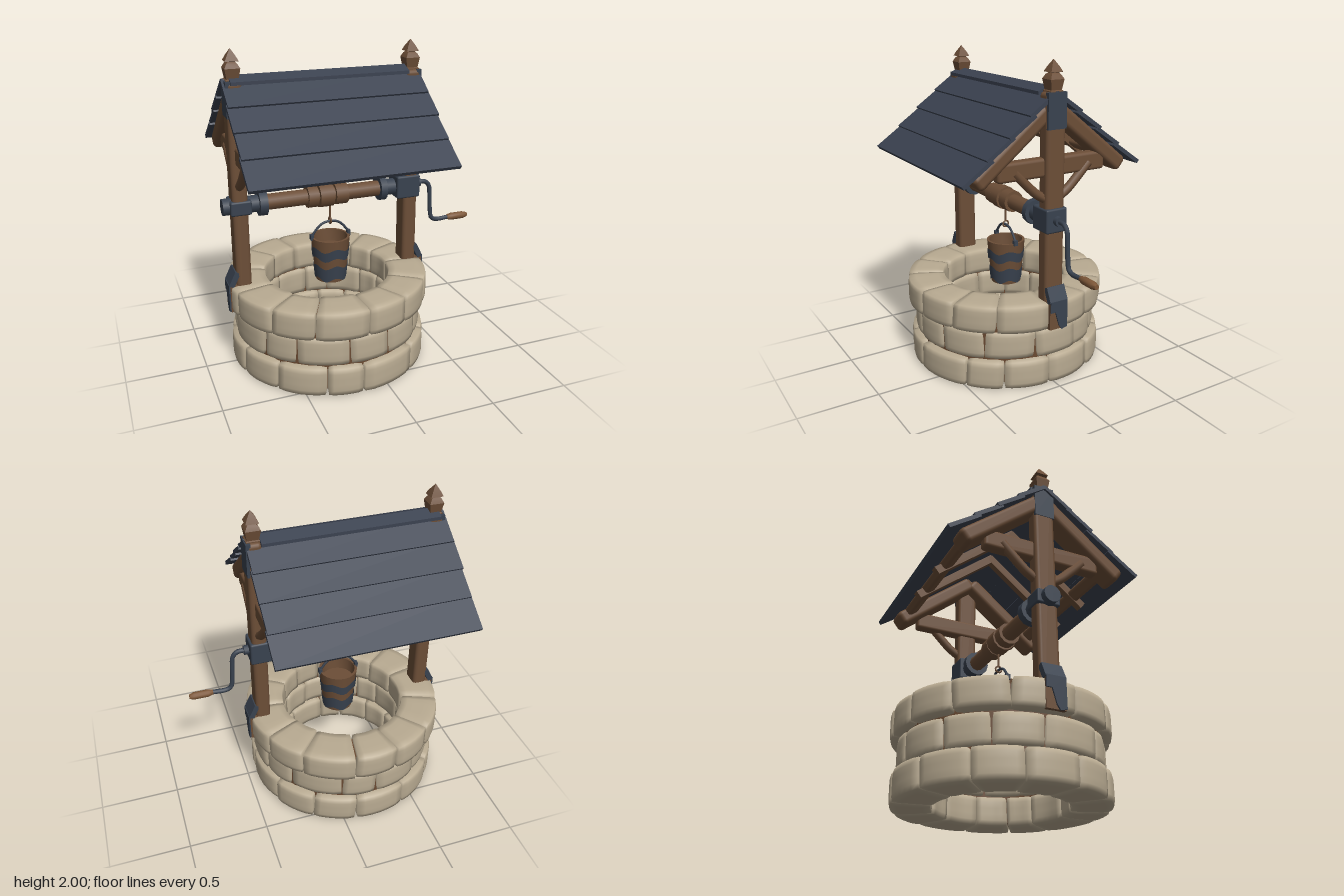
import * as THREE from 'three';
import { mergeVertices, toCreasedNormals } from 'three/addons/utils/BufferGeometryUtils.js';
import { RoundedBoxGeometry } from 'three/addons/geometries/RoundedBoxGeometry.js';

const material = (name, color, side = THREE.FrontSide) => {
  const m = new THREE.MeshStandardMaterial({ color, side });
  m.name = name;
  return m;
};
const stone = material('stone', 0xb9ab92);
const mortar = material('mortar', 0x6a4a32);
const wood = material('wood', 0x6c4e37);
const handleWood = material('handle wood', 0x7d5738);
const slate = material('roof slate', 0x3b4250);
const iron = material('iron', 0x39424f);
const ironBand = material('iron band', 0x39424f, THREE.DoubleSide);

const CX = -0.18; // centre of the well

let seed = 7;
const rand = () => (seed = (seed * 16807) % 2147483647) / 2147483647;

function add(parent, name, geometry, mat, x = 0, y = 0, z = 0) {
  const mesh = new THREE.Mesh(geometry, mat);
  mesh.name = name;
  mesh.position.set(x, y, z);
  parent.add(mesh);
  return mesh;
}
const beam = (w, h, d, r = 0.02) => new RoundedBoxGeometry(w, h, d, 2, r);
const vec = ([x, y, z = 0]) => new THREE.Vector3(x, y, z);
const tube = (points, r) =>
  new THREE.TubeGeometry(new THREE.CatmullRomCurve3(points.map(vec), false, 'centripetal'), 24, r, 8);
const lathe = (points, sides, start = 0) =>
  toCreasedNormals(new THREE.LatheGeometry(points.map(p => new THREE.Vector2(...p)), sides, start), 0.6);
// cylinder lying along x from x0 to x1
function rod(parent, name, mat, x0, x1, r, y, sides = 12) {
  const g = new THREE.CylinderGeometry(r, r, x1 - x0, sides).rotateZ(Math.PI / 2);
  return add(parent, name, g, mat, (x0 + x1) / 2, y, 0);
}

// Rounded block bent around the well's axis
function stoneBlock(a0, a1, inner, outer, y0, y1) {
  const w = (a1 - a0) * outer, h = y1 - y0, d = outer - inner, r = 0.022;
  let g = new THREE.BoxGeometry(w, h, d, 6, 5, 5);
  g.deleteAttribute('normal');
  g.deleteAttribute('uv');
  g = mergeVertices(g);
  const p = g.attributes.position, v = new THREE.Vector3(), c = new THREE.Vector3();
  const limit = new THREE.Vector3(w / 2 - r, h / 2 - r, d / 2 - r);
  const skew = (rand() - 0.5) * 0.05, lean = rand() * 0.015;
  for (let i = 0; i < p.count; i++) {
    v.fromBufferAttribute(p, i);
    c.copy(v).clamp(limit.clone().negate(), limit);
    const off = v.clone().sub(c);
    if (off.lengthSq() > 0) v.copy(c).add(off.setLength(r));
    const a = (a0 + a1) / 2 + v.x / outer + skew * v.y / h;
    const rad = (inner + outer) / 2 + v.z - lean * Math.abs(v.x / w + skew * 4);
    p.setXYZ(i, Math.sin(a) * rad, (y0 + y1) / 2 + v.y, Math.cos(a) * rad);
  }
  g.computeVertexNormals();
  return g;
}

function buildWall() {
  const wall = new THREE.Group();
  wall.name = 'stoneWall';
  wall.position.x = CX;
  const courses = [[0, 0.19, 0.385, 0.638, 0.1], [0.19, 0.38, 0.4, 0.61, 0.36], [0.38, 0.562, 0.395, 0.648, 0.02]];
  for (const [y0, y1, inner, outer, turn] of courses) {
    const n = 13, cuts = [];
    for (let i = 0; i < n; i++) cuts.push(turn + (i + (rand() - 0.5) * 0.3) * Math.PI * 2 / n);
    cuts.push(cuts[0] + Math.PI * 2);
    for (let i = 0; i < n; i++) {
      const g = stoneBlock(cuts[i], cuts[i + 1], inner + rand() * 0.012, outer - rand() * 0.01, y0, y1 - rand() * 0.005);
      add(wall, 'stone', g, stone);
    }
  }
  const core = [[0.43, 0.03], [0.585, 0.03], [0.585, 0.53], [0.43, 0.53], [0.43, 0.03]];
  add(wall, 'mortarCore', lathe(core, 36), mortar);
  return wall;
}

// Post with its ironwork, tie beam, braces and finial; local +x points outward
function buildEndFrame() {
  const f = new THREE.Group();
  f.name = 'endFrame';
  add(f, 'post', beam(0.095, 1.42, 0.13, 0.025), wood, 0, 1.11, 0);
  add(f, 'postFoot', new THREE.BoxGeometry(0.1, 0.175, 0.12), wood, 0.042, 0.472, 0);
  const s = new THREE.Shape([[-0.025, 0.5], [-0.06, 0.5], [-0.06, 0.57], [0.06, 0.57], [0.06, 0.39], [0.02, 0.38]]
    .map(p => new THREE.Vector2(...p)));
  s.lineTo(-0.0, 0.41);
  const plate = new THREE.ExtrudeGeometry(s, { depth: 0.009, bevelEnabled: false }).rotateY(Math.PI / 2);
  add(f, 'footPlate', plate, iron, 0.092, 0, 0);
  const upper = add(f, 'footPlateTop', new THREE.BoxGeometry(0.035, 0.1, 0.125), iron, 0.062, 0.602, 0);
  upper.rotation.z = 0.45;
  add(f, 'topPlate', new THREE.BoxGeometry(0.03, 0.21, 0.125), iron, 0.036, 1.715, 0);
  add(f, 'tieBeam', beam(0.075, 0.115, 0.74), wood, -0.02, 1.385, 0);
  for (const k of [-1, 1]) {
    add(f, 'brace', tube([[0, 1.19, k * 0.04], [0, 1.235, k * 0.11], [0, 1.29, k * 0.17], [0, 1.38, k * 0.26]], 0.028), wood);
  }
  // square turned finial
  const profile = [[0, 1.8], [0.06, 1.8], [0.06, 1.825], [0.05, 1.83], [0.064, 1.89], [0.045, 1.915],
    [0.03, 1.925], [0.056, 1.93], [0.035, 1.96], [0, 2]];
  add(f, 'finial', lathe(profile, 4, Math.PI / 4), wood);
  return f;
}

// One slope; local +z runs down the roof
function buildRoofSide() {
  const side = new THREE.Group();
  side.name = 'roofSide';
  const slope = new THREE.Group();
  slope.rotation.x = 0.675;
  side.add(slope);
  const edges = [0.03, 0.215, 0.39, 0.57, 0.77];
  for (let i = 0; i < 4; i++) {
    const len = edges[i + 1] - edges[i] + 0.03;
    const plank = add(slope, 'roofPlank', new THREE.BoxGeometry(1.225 + (i % 2) * 0.01, 0.024, len), slate,
      0, 0.004, edges[i + 1] - len / 2);
    plank.rotation.x = -0.07;
  }
  for (const k of [-1, 1]) {
    add(slope, 'gableRafter', beam(0.145, 0.1, 0.65, 0.03), wood, k * 0.522, -0.064, 0.375);
    add(slope, 'smallRafter', new THREE.BoxGeometry(0.045, 0.05, 0.66), wood, k * 0.155, -0.055, 0.36);
  }
  add(slope, 'purlin', beam(0.95, 0.06, 0.08), wood, 0, -0.045, 0.6);
  return side;
}

function buildWindlass() {
  const w = new THREE.Group();
  w.name = 'windlass';
  const y = 1.062;
  rod(w, 'axle', wood, -0.7, 0.3, 0.05, y);
  for (const [x0, x1, r] of [[-0.31, -0.245, 0.07], [-0.235, -0.145, 0.076], [-0.13, -0.05, 0.07]])
    rod(w, 'ropeDrum', wood, x0, x1, r, y);
  rod(w, 'endCap', iron, -0.84, -0.785, 0.052, y);
  add(w, 'leftBearing', beam(0.13, 0.09, 0.145, 0.012), iron, -0.735, y, 0);
  rod(w, 'leftSleeve', iron, -0.69, -0.6, 0.053, y);
  rod(w, 'leftCollar', iron, -0.62, -0.57, 0.08, y);
  rod(w, 'rightCollar', iron, 0.17, 0.212, 0.08, y);
  rod(w, 'rightSleeve', iron, 0.2, 0.3, 0.053, y);
  add(w, 'rightBearing', beam(0.16, 0.15, 0.145, 0.012), iron, 0.36, y + 0.005, 0);
  rod(w, 'crankHub', iron, 0.43, 0.47, 0.03, y + 0.007);
  add(w, 'crank', tube([[0.45, 1.068], [0.51, 1.066], [0.54, 1.035], [0.548, 0.97], [0.556, 0.85],
    [0.568, 0.803], [0.6, 0.787], [0.69, 0.79]], 0.015), iron);
  const grip = lathe([[0, 0], [0.016, 0], [0.024, 0.03], [0.024, 0.12], [0.015, 0.15], [0, 0.15]], 12);
  add(w, 'crankGrip', grip, handleWood, 0.685, 0.79, 0).rotation.z = -Math.PI / 2;
  return w;
}

function buildBucket() {
  const b = new THREE.Group();
  b.name = 'bucket';
  b.position.x = -0.155;
  add(b, 'bucketBody', lathe([[0, 0.49], [0.098, 0.49], [0.126, 0.78], [0.11, 0.78], [0.103, 0.7], [0, 0.7]], 20), wood);
  // hoops with wavy edges
  const radius = y => 0.102 + (y - 0.49) * 0.0966;
  for (const [y0, y1] of [[0.505, 0.595], [0.65, 0.715]]) {
    const g = new THREE.CylinderGeometry(radius(y1), radius(y0), y1 - y0, 40, 1, true);
    const p = g.attributes.position;
    for (let i = 0; i < p.count; i++)
      p.setY(i, p.getY(i) + 0.012 * Math.sin(5 * Math.atan2(p.getZ(i), p.getX(i))));
    add(b, 'bucketHoop', g, ironBand, 0, (y0 + y1) / 2, 0);
  }
  add(b, 'bucketHandle', tube([[-0.128, 0.775], [-0.118, 0.8], [-0.06, 0.865], [0, 0.88], [0.06, 0.865],
    [0.118, 0.8], [0.128, 0.775]], 0.008), iron);
  for (const k of [-1, 1]) add(b, 'handleLug', new THREE.BoxGeometry(0.02, 0.035, 0.03), iron, k * 0.124, 0.785, 0);
  add(b, 'rope', new THREE.CylinderGeometry(0.007, 0.007, 0.12, 8), wood, 0, 0.96, 0);
  add(b, 'hook', new THREE.TorusGeometry(0.02, 0.006, 6, 14), wood, 0, 0.885, 0).rotation.y = Math.PI / 2;
  return b;
}

export function createModel() {
  const well = new THREE.Group();
  well.name = 'well';
  well.add(buildWall(), buildWindlass(), buildBucket());
  for (const k of [-1, 1]) {
    const frame = buildEndFrame();
    frame.position.x = CX + k * 0.558;
    const roof = buildRoofSide();
    roof.position.set(-0.19, 1.82, 0);
    if (k < 0) frame.rotation.y = roof.rotation.y = Math.PI;
    well.add(frame, roof);
  }
  // shallow ridge cap
  const cap = new THREE.Shape([[-0.075, 1.8], [0.075, 1.8], [0.075, 1.82], [0, 1.85], [-0.075, 1.82]]
    .map(p => new THREE.Vector2(...p)));
  const ridge = new THREE.ExtrudeGeometry(cap, { depth: 1.1, bevelEnabled: false }).rotateY(Math.PI / 2);
  add(well, 'ridgeCap', ridge, slate, -0.76, 0, 0);
  return well;
}
